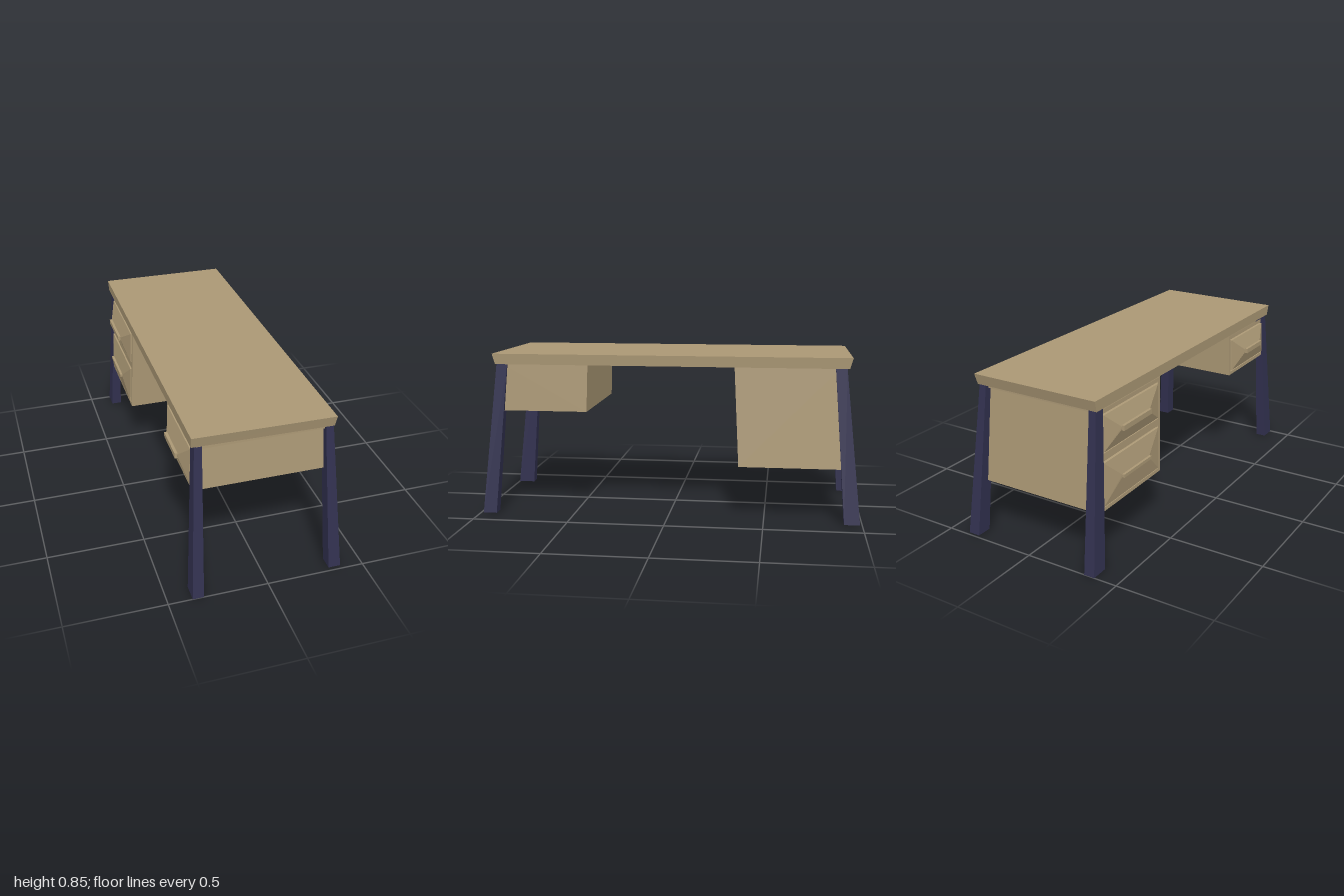
import * as THREE from 'three';

const wood = new THREE.MeshStandardMaterial({ color: 0xab9875, side: THREE.DoubleSide });
wood.name = 'wood';
const legPaint = new THREE.MeshStandardMaterial({ color: 0x323150, side: THREE.DoubleSide });
legPaint.name = 'dark leg paint';

const lerp = THREE.MathUtils.lerp;

// Flat-shaded mesh from a list of four-cornered faces
function quadMesh(name, quads, material) {
  const pos = [];
  for (const [a, b, c, d] of quads) pos.push(...a, ...b, ...c, ...a, ...c, ...d);
  const geo = new THREE.BufferGeometry();
  geo.setAttribute('position', new THREE.Float32BufferAttribute(pos, 3));
  geo.computeVertexNormals();
  const mesh = new THREE.Mesh(geo, material);
  mesh.name = name;
  return mesh;
}

// Faces joining successive four-point rings
function loft(rings) {
  const quads = [];
  for (let r = 0; r + 1 < rings.length; r++) {
    for (let i = 0; i < 4; i++) {
      const j = (i + 1) % 4;
      quads.push([rings[r][i], rings[r][j], rings[r + 1][j], rings[r + 1][i]]);
    }
  }
  return quads;
}

// Level rectangle, counter-clockwise seen from above
const rect = (x0, x1, z0, z1, y) => [[x0, y, z1], [x1, y, z1], [x1, y, z0], [x0, y, z0]];

const TOP = 0.791;
const WALL_TOP = 0.768;
// Slanted plane carrying the drawer fronts
const faceX = (y) => lerp(-0.357, -0.336, (y - 0.283) / (TOP - 0.283));

// Open-bottomed cabinet; inner, end (z) and side (x) are given at the [bottom, top]
function cabinet({ name, bottom, inner, end, side, drawers, handleZ }) {
  const group = new THREE.Group();
  group.name = name;
  const t = (y) => (y - bottom) / (TOP - bottom);
  const zi = (y) => lerp(inner[0], inner[1], t(y));
  const ze = (y) => lerp(end[0], end[1], t(y));
  const xs = (y) => lerp(side[0], side[1], t(y));
  const s = Math.sign(end[0] - inner[0]);

  const wall = (label, x0, x1, z0, z1, top) => quadMesh(label, [[
    [x0(bottom), bottom, z0(bottom)], [x1(bottom), bottom, z1(bottom)],
    [x1(top), top, z1(top)], [x0(top), top, z0(top)],
  ]], wood);
  group.add(wall('innerWall', faceX, xs, zi, zi, TOP));
  group.add(wall('endWall', faceX, xs, ze, ze, WALL_TOP));
  group.add(wall('sideWall', xs, xs, zi, ze, TOP));

  // Projecting moulding between the end wall and the tabletop
  const z = ze(WALL_TOP);
  const steps = [[WALL_TOP, z], [WALL_TOP, z + s * 0.014], [TOP, z + s * 0.014]];
  const strips = steps.slice(1).map(([y, zz], i) => {
    const [py, pz] = steps[i];
    return [[-0.325, py, pz], [0.31, py, pz], [0.31, y, zz], [-0.325, y, zz]];
  });
  group.add(quadMesh('endMoulding', strips, wood));

  for (const { y0, y1, mid, grip } of drawers) {
    // Frame, recess and raised drawer front as one stepped surface
    const ring = (inset, out) => {
      const p = (y, zz) => [faceX(y) - out, y, zz];
      const a = y0 + inset, b = y1 - inset;
      return [p(a, zi(a) + s * inset), p(a, ze(a) - s * inset),
        p(b, ze(b) - s * inset), p(b, zi(b) + s * inset)];
    };
    const [h0, h1] = handleZ;
    const ridge = [[-0.378, mid - 0.006, h0], [-0.378, mid - 0.006, h1],
      [-0.378, mid + 0.006, h1], [-0.378, mid + 0.006, h0]];
    const rings = [ring(0, 0), ring(0.018, 0), ring(0.02, -0.006),
      ring(0.024, -0.006), ring(0.026, 0.005), ridge];
    group.add(quadMesh('drawerFront', [...loft(rings), ridge], wood));

    const handle = new THREE.Mesh(
      new THREE.BoxGeometry(0.014, grip, Math.abs(h1 - h0)), wood);
    handle.position.set(-0.383, mid, (h0 + h1) / 2);
    handle.name = 'drawerHandle';
    group.add(handle);
  }
  return group;
}

export function createModel() {
  const desk = new THREE.Group();
  desk.name = 'desk';

  // Tabletop, a little wider at its upper edge, with a slightly skewed front
  const low = rect(-0.353, 0.327, -0.915, 0.9, TOP);
  const high = rect(-0.355, 0.332, -0.93, 0.914, 0.846);
  low[1][2] = 0.911;
  high[1][2] = 0.925;
  desk.add(quadMesh('tabletop', [...loft([low, high]), [...low].reverse(), high], wood));

  // Splayed open-ended legs, tapering upward: x at the foot and the head
  const left = { foot: [-0.38, -0.324], head: [-0.34, -0.303] };
  const right = { foot: [0.325, 0.387], head: [0.288, 0.326] };
  for (const [name, leg, s, inner, outer, y] of [
    ['frontRightLeg', left, 1, 0.911, 1.0, 0],
    ['frontLeftLeg', right, 1, 0.911, 0.982, 0.004],
    ['backRightLeg', left, -1, 0.908, 1.0, 0],
    ['backLeftLeg', right, -1, 0.908, 0.988, 0.004],
  ]) {
    const span = (a, b) => (s > 0 ? [a, b] : [-b, -a]);
    desk.add(quadMesh(name, loft([
      rect(...leg.foot, ...span(inner, outer), y),
      rect(...leg.head, ...span(0.846, 0.903), TOP)]), legPaint));
  }

  // Single-drawer cabinet at the front, two-drawer cabinet at the back
  const upper = { y0: 0.548, y1: 0.775, mid: 0.662, grip: 0.026 };
  const lower = { y0: 0.283, y1: 0.548, mid: 0.42, grip: 0.016 };
  desk.add(cabinet({
    name: 'frontCabinet', bottom: 0.548, inner: [0.427, 0.42], end: [0.887, 0.872],
    side: [0.329, 0.318], drawers: [upper], handleZ: [0.562, 0.755],
  }));
  desk.add(cabinet({
    name: 'backCabinet', bottom: 0.283, inner: [-0.367, -0.34], end: [-0.908, -0.868],
    side: [0.355, 0.318], drawers: [upper, lower], handleZ: [-0.505, -0.75],
  }));
  return desk;
}
